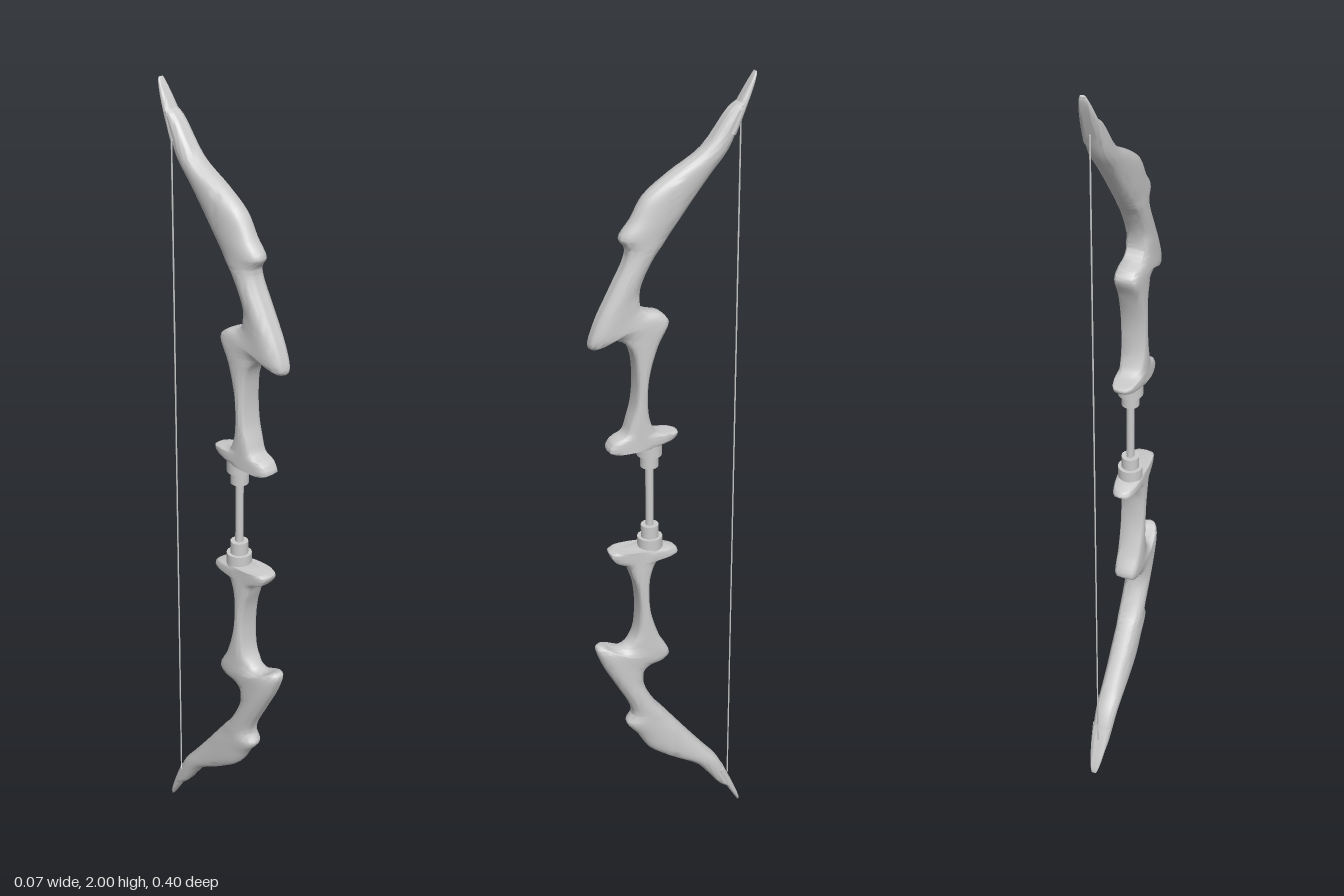
import * as THREE from 'three';
import { toCreasedNormals } from 'three/addons/utils/BufferGeometryUtils.js';

const { clamp, lerp, smoothstep } = THREE.MathUtils;
const material = new THREE.MeshStandardMaterial({ color: 0xcccccc, roughness: 0.7 });

// Each row: front z, front y, back z, back y
const riserRows = [
  // foot and guard prong
  [0.150, 1.134, 0.030, 1.140],
  [0.161, 1.140, -0.012, 1.153],
  [0.150, 1.163, -0.016, 1.165],
  [0.120, 1.178, 0.040, 1.175],
  // riser
  [0.107, 1.210, 0.057, 1.205],
  [0.095, 1.250, 0.064, 1.255],
  [0.090, 1.317, 0.060, 1.320],
  [0.100, 1.386, 0.037, 1.396],
  // front spur and back shoulder
  [0.122, 1.412, 0.010, 1.452],
  [0.155, 1.419, 0.024, 1.470],
  [0.190, 1.402, 0.062, 1.482],
  [0.201, 1.408, 0.078, 1.497],
];
const limbRows = [
  [0.186, 1.460, 0.080, 1.520],
  [0.148, 1.534, 0.070, 1.558],
  [0.111, 1.608, 0.042, 1.610],
  [0.109, 1.632, 0.022, 1.635],
  [0.123, 1.655, 0.005, 1.657],
  [0.095, 1.695, -0.020, 1.690],
  [0.064, 1.746, -0.052, 1.732],
  [0.005, 1.790, -0.095, 1.787],
  [-0.074, 1.840, -0.135, 1.838],
  [-0.140, 1.924, -0.164, 1.905],
  [-0.162, 1.938, -0.170, 1.925],
];
const nockRows = [
  [-0.125, 1.875, -0.150, 1.866],
  [-0.158, 1.934, -0.177, 1.928],
  [-0.192, 1.992, -0.200, 1.988],
  [-0.197, 2.000, -0.201, 1.998],
];

// Half width: constant along the riser, elliptical taper to the tip
const halfWidth = y => 0.033 * Math.sqrt(1 - clamp((y - 1.68) / 0.325, 0, 1) ** 2);

// Section exponents: low is boxy (riser), near 1 is a lens (spur and limb)
const frontRoundness = y => lerp(0.35, 0.9, smoothstep(y, 1.41, 1.46)) - 0.2 * smoothstep(y, 1.5, 1.75);
const backRoundness = y => lerp(0.3, 0.6, Math.max(smoothstep(y, 1.47, 1.53), 1 - smoothstep(y, 1.16, 1.19)));

// Smooth loft through rows of front and back points
function loft(rows, steps = 4, sides = 28) {
  const curve = k => new THREE.CatmullRomCurve3(rows.map(r => new THREE.Vector3(0, r[k + 1], r[k])));
  const frontCurve = curve(0), backCurve = curve(2);
  const count = (rows.length - 1) * steps;
  const pos = [], idx = [];
  for (let i = 0; i <= count; i++) {
    const f = frontCurve.getPoint(i / count), b = backCurve.getPoint(i / count);
    const y = (f.y + b.y) / 2;
    for (let j = 0; j < sides; j++) {
      const a = (j / sides) * Math.PI * 2;
      const p = f.clone().lerp(b, (1 - Math.cos(a)) / 2);
      const e = Math.cos(a) > 0 ? frontRoundness(y) : backRoundness(y);
      const s = j % (sides / 2) === 0 ? 0 : Math.sin(a);
      pos.push(halfWidth(y) * Math.sign(s) * Math.abs(s) ** e, p.y, p.z);
    }
  }
  for (let i = 0; i < count; i++) {
    for (let j = 0; j < sides; j++) {
      const a = i * sides + j, b = i * sides + (j + 1) % sides;
      idx.push(a, b, b + sides, a, b + sides, a + sides);
    }
  }
  // End caps
  const top = count * sides;
  for (let j = 1; j < sides - 1; j++) {
    idx.push(0, j + 1, j, top, top + j, top + j + 1);
  }
  const g = new THREE.BufferGeometry();
  g.setAttribute('position', new THREE.Float32BufferAttribute(pos, 3));
  g.setIndex(idx);
  return toCreasedNormals(g, 0.7);
}

function add(parent, name, geometry) {
  const mesh = new THREE.Mesh(geometry, material);
  mesh.name = name;
  parent.add(mesh);
  return mesh;
}

// Upright cylinder between two heights
function post(parent, name, radius, y0, y1, z, sides = 24) {
  add(parent, name, new THREE.CylinderGeometry(radius, radius, y1 - y0, sides)).position.set(0, (y0 + y1) / 2, z);
}

export function createModel() {
  const bow = new THREE.Group();
  bow.name = 'bow';
  const limbGeometry = loft([...riserRows, ...limbRows]);
  const nockGeometry = loft(nockRows);

  // The lower half is the upper half turned over about the middle of the grip
  for (const upper of [true, false]) {
    const half = new THREE.Group();
    half.name = upper ? 'upperHalf' : 'lowerHalf';
    add(half, 'limb', limbGeometry);
    add(half, 'nock', nockGeometry);
    post(half, 'collar', 0.031, 1.112, 1.15, 0.054);
    post(half, 'ferrule', 0.022, 1.08, 1.115, 0.054);
    if (!upper) {
      half.rotation.z = Math.PI;
      half.position.y = 2;
    }
    bow.add(half);
  }

  // Thin grip rod and bowstring
  post(bow, 'gripRod', 0.01, 0.91, 1.09, 0.054, 16);
  post(bow, 'bowstring', 0.002, 0.1, 1.9, -0.167, 8);
  return bow;
}
